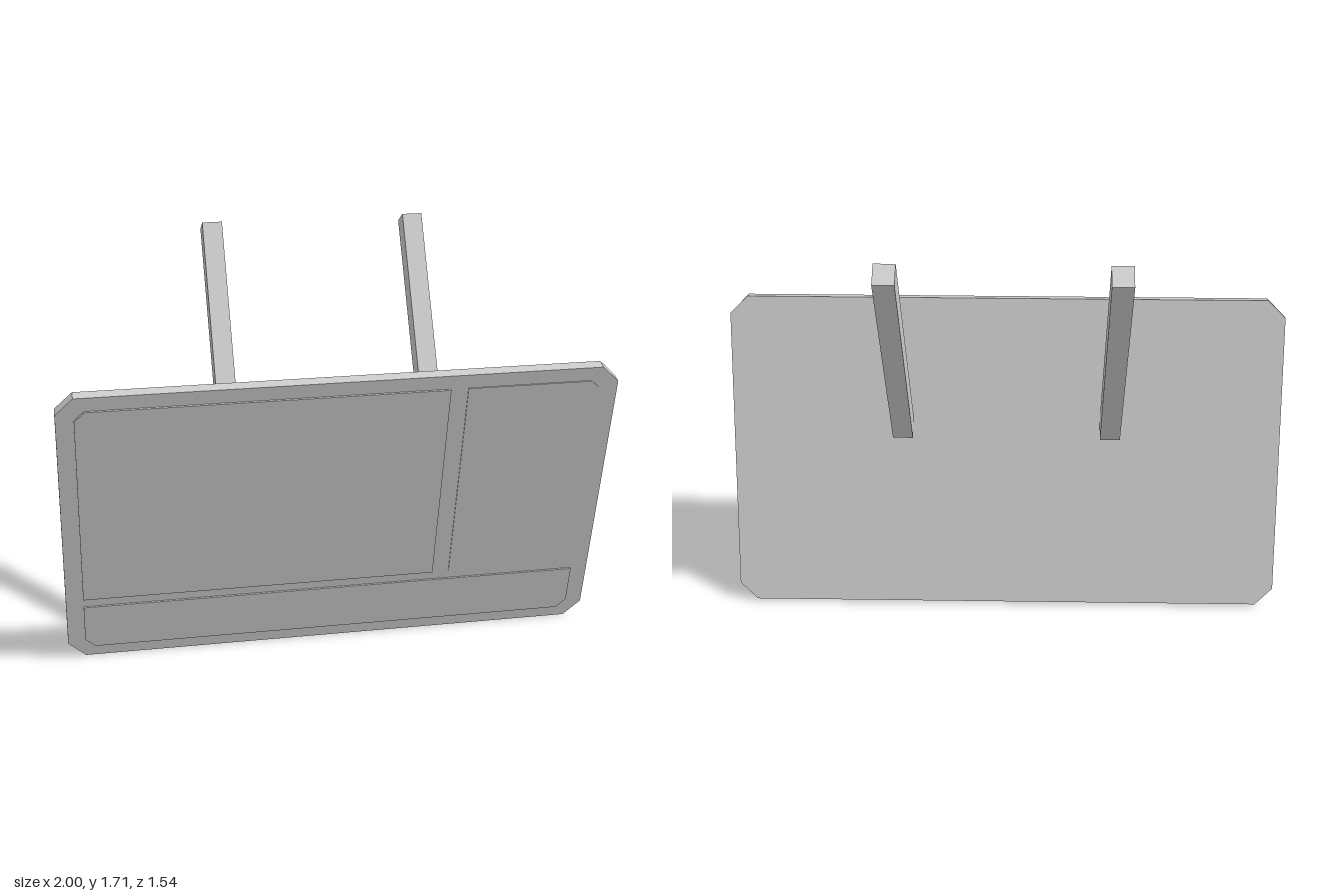
import * as THREE from 'three';

const material = new THREE.MeshStandardMaterial({ color: 0xcccccc, flatShading: true });
const deg = THREE.MathUtils.degToRad;

// Flat slab with individually cut corners: bottom-left, bottom-right, top-right, top-left
function slab(name, [x0, x1], [y0, y1], [bl, br, tr, tl], z, depth) {
  const corners = [
    [x0, y0 + bl], [x0 + bl, y0], [x1 - br, y0], [x1, y0 + br],
    [x1, y1 - tr], [x1 - tr, y1], [x0 + tl, y1], [x0, y1 - tl],
  ].filter((p, i, all) => {
    const q = all[(i + 1) % all.length];
    return p[0] !== q[0] || p[1] !== q[1];
  });
  const shape = new THREE.Shape(corners.map(([x, y]) => new THREE.Vector2(x, y)));
  const geometry = new THREE.ExtrudeGeometry(shape, { depth, bevelEnabled: false });
  geometry.translate(0, 0, z);
  const mesh = new THREE.Mesh(geometry, material);
  mesh.name = name;
  return mesh;
}

export function createModel() {
  const model = new THREE.Group();
  model.name = 'hangingSign';

  // Whole sign is turned towards its left
  const sign = new THREE.Group();
  sign.name = 'sign';
  sign.rotation.y = deg(35);
  model.add(sign);

  // Board leaning forward, pivoting on its lower front edge
  const board = new THREE.Group();
  board.name = 'board';
  board.position.set(0, 0, -0.154);
  board.rotation.x = deg(15);
  sign.add(board);
  board.add(
    slab('backPlate', [-1.1, 1.1], [0, 1.282], [0.07, 0.07, 0.07, 0.07], -0.045, 0.045),
    // Thin raised panels on the front
    slab('mainPanel', [-1.03, 0.42], [0.305, 1.222], [0, 0, 0, 0.04], 0, 0.008),
    slab('sidePanel', [0.49, 1.03], [0.305, 1.222], [0, 0, 0.04, 0], 0, 0.004),
    slab('lowerPanel', [-1.03, 1.03], [0.052, 0.264], [0.04, 0.04, 0, 0], 0, 0.007),
  );

  // Pair of support arms rising backwards from the plate
  for (const side of [-1, 1]) {
    const arm = new THREE.Mesh(new THREE.BoxGeometry(0.08, 1.1, 0.09), material);
    arm.name = side > 0 ? 'leftArm' : 'rightArm';
    arm.position.set(side * 0.415, 1.216, -0.294);
    arm.rotation.x = deg(-30);
    sign.add(arm);
  }

  return model;
}
